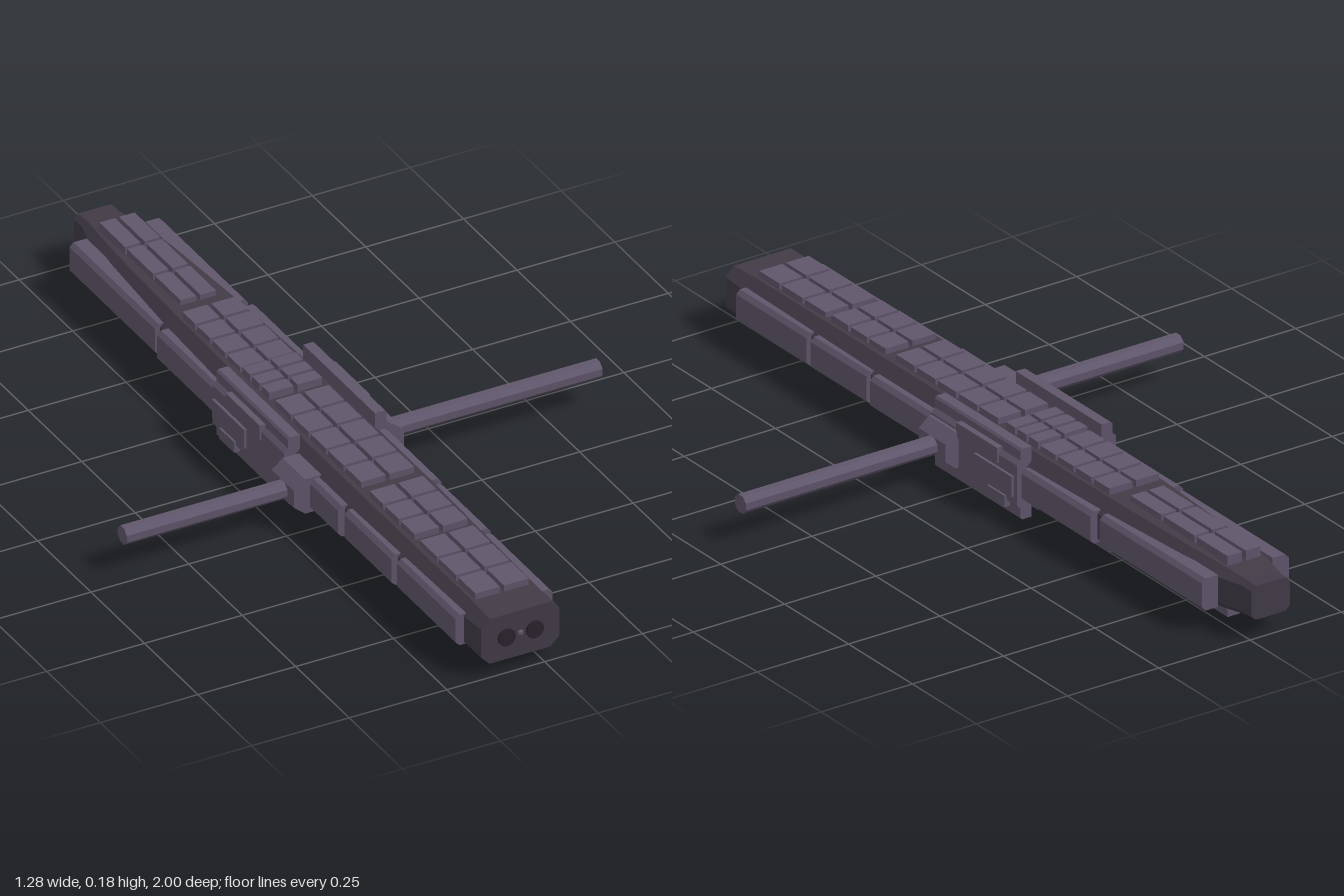
import * as THREE from 'three';

const CX = -0.057, CY = 0.09; // hull axis
const hullMat = new THREE.MeshStandardMaterial({ color: 0x423b47, flatShading: true });
const plateMat = new THREE.MeshStandardMaterial({ color: 0x5f566b, flatShading: true });
const darkMat = new THREE.MeshStandardMaterial({ color: 0x2a252e, flatShading: true });

function add(parent, name, geo, mat, x = 0, y = 0, z = 0) {
  const m = new THREE.Mesh(geo, mat);
  m.name = name;
  m.position.set(x, y, z);
  parent.add(m);
  return m;
}

// Box given by its limits
function box(parent, name, mat, x0, x1, y0, y1, z0, z1) {
  return add(parent, name, new THREE.BoxGeometry(x1 - x0, y1 - y0, z1 - z0), mat,
    (x0 + x1) / 2, (y0 + y1) / 2, (z0 + z1) / 2);
}

// Chamfered octagonal ring, counter-clockwise seen from +z
function ring([z, w, h, c]) {
  return [[w, -h + c], [w, h - c], [w - c, h], [-w + c, h],
    [-w, h - c], [-w, -h + c], [-w + c, -h], [w - c, -h]].map(([x, y]) => [x, y, z]);
}

// Loft through octagons ordered from back to front, with flat ends
function loft(sections) {
  const rings = sections.map(ring), pos = [];
  const tri = (a, b, c) => pos.push(...a, ...b, ...c);
  for (let s = 0; s < rings.length - 1; s++) {
    for (let i = 0; i < 8; i++) {
      const j = (i + 1) % 8, a = rings[s], b = rings[s + 1];
      tri(a[i], a[j], b[j]);
      tri(a[i], b[j], b[i]);
    }
  }
  const back = rings[0], front = rings[rings.length - 1];
  for (let i = 1; i < 7; i++) {
    tri(front[0], front[i], front[i + 1]);
    tri(back[0], back[i + 1], back[i]);
  }
  const g = new THREE.BufferGeometry();
  g.setAttribute('position', new THREE.Float32BufferAttribute(pos, 3));
  g.computeVertexNormals();
  return g;
}

// Chamfered block, its profile in x/y extruded along z
function extrude(points, depth) {
  const shape = new THREE.Shape(points.map(p => new THREE.Vector2(...p)));
  return new THREE.ExtrudeGeometry(shape, { depth, bevelEnabled: false });
}

export function createModel() {
  const model = new THREE.Group();
  model.name = 'ship';
  const body = new THREE.Group();
  body.name = 'body';
  body.position.x = CX;
  model.add(body);

  // Main hull: z, half width, half height, chamfer
  add(body, 'hull', loft([
    [-1, 0.053, 0.042, 0.012], [-0.965, 0.053, 0.044, 0.012],
    [-0.88, 0.075, 0.053, 0.022], [-0.78, 0.09, 0.057, 0.028],
    [-0.5, 0.106, 0.063, 0.032], [-0.2, 0.115, 0.066, 0.034],
    [0.38, 0.115, 0.066, 0.034], [0.9, 0.104, 0.061, 0.028],
    [0.99, 0.1, 0.059, 0.022]
  ]), hullMat, 0, CY, 0);

  // Armour tiles: back z, front z, rows, top height above the axis
  const segments = [
    [-0.895, -0.515, 3, 0.076], [-0.465, -0.195, 4, 0.08],
    [-0.185, -0.06, 3, 0.085], [-0.03, 0.37, 5, 0.082],
    [0.41, 0.62, 3, 0.08], [0.645, 0.905, 3, 0.077]
  ];
  const gap = 0.01;
  for (const [z0, z1, rows, top] of segments) {
    const step = (z1 - z0 + gap) / rows;
    const inner = 0.005, outer = z0 < -0.5 ? 0.045 : 0.068;
    for (const s of [-1, 1]) {
      const x0 = s < 0 ? -outer : inner, x1 = s < 0 ? -inner : outer;
      for (let r = 0; r < rows; r++) {
        const z = z0 + r * step;
        box(body, 'topTile', plateMat, x0, x1, CY + 0.045, CY + top, z, z + step - gap);
      }
      box(body, 'bellyPlate', plateMat, x0, x1, CY - top, CY - 0.045, z0, z1);
    }
  }

  // Long side plates: back z, front z, outer half width
  const sidePlates = [
    [-0.9, -0.5, 0.119], [-0.475, -0.205, 0.127], [0.13, 0.38, 0.132],
    [0.4, 0.62, 0.127], [0.64, 0.915, 0.124]
  ];
  for (const s of [-1, 1]) {
    for (const [z0, z1, w] of sidePlates) {
      const geo = extrude([
        [0.075, -0.04], [w - 0.01, -0.04], [w, -0.03],
        [w, 0.03], [w - 0.01, 0.04], [0.075, 0.04]
      ], z1 - z0);
      const m = add(body, 'sidePlate', geo, plateMat, 0, CY, s > 0 ? z0 : z1);
      if (s < 0) m.rotation.y = Math.PI;
    }

    // Midship armour clamp with raised rails above and below
    const clamp = extrude([
      [0.096, -0.088], [0.121, -0.088], [0.126, -0.083], [0.126, -0.06],
      [0.136, -0.05], [0.136, 0.05], [0.126, 0.06], [0.126, 0.083],
      [0.121, 0.088], [0.096, 0.088]
    ], 0.335);
    const c = add(body, 'midshipClamp', clamp, plateMat, 0, CY, s > 0 ? -0.2 : 0.135);
    if (s < 0) c.rotation.y = Math.PI;
    const side = (name, x0, x1, y0, y1, z0, z1) =>
      box(body, name, plateMat, s > 0 ? x0 : -x1, s > 0 ? x1 : -x0, y0, y1, z0, z1);
    side('clampUpperBox', 0.12, 0.141, 0.12, 0.158, -0.13, 0.03);
    side('clampLowerBox', 0.12, 0.141, 0.022, 0.05, -0.16, -0.09);
    side('clampSmallBox', 0.13, 0.143, 0.06, 0.11, -0.19, -0.04);
  }

  // Boom on each side, with its faceted mount
  for (const [s, z] of [[1, 0.08], [-1, 0.195]]) {
    const boom = new THREE.Group();
    boom.name = s > 0 ? 'leftBoom' : 'rightBoom';
    boom.position.set(0, CY, z);
    model.add(boom);
    const root = CX + s * 0.1, tip = CX + s * 0.172;
    const mount = extrude([
      [0, -0.045], [0.044, -0.045], [0.072, -0.022],
      [0.072, 0.022], [0.044, 0.045], [0, 0.045]
    ], 0.105);
    const m = add(boom, 'boomMount', mount, plateMat, root, 0, s > 0 ? -0.0525 : 0.0525);
    if (s < 0) m.rotation.y = Math.PI;
    const end = s * 0.64, length = Math.abs(end - tip) + 0.01;
    const rod = add(boom, 'boomRod', new THREE.CylinderGeometry(0.023, 0.023, length, 8),
      plateMat, end - s * length / 2, 0, 0);
    rod.rotation.set(Math.PI / 8, 0, Math.PI / 2);
  }

  // Round ports and small centre stud on the front face
  for (const s of [-1, 1]) {
    const port = add(body, 'frontPort', new THREE.CylinderGeometry(0.022, 0.022, 0.012, 16),
      darkMat, s * 0.036, CY, 0.99);
    port.rotation.x = Math.PI / 2;
  }
  const stud = add(body, 'frontStud', new THREE.SphereGeometry(0.008, 8, 6), plateMat, 0, CY, 0.99);
  stud.scale.z = 0.7;
  return model;
}
